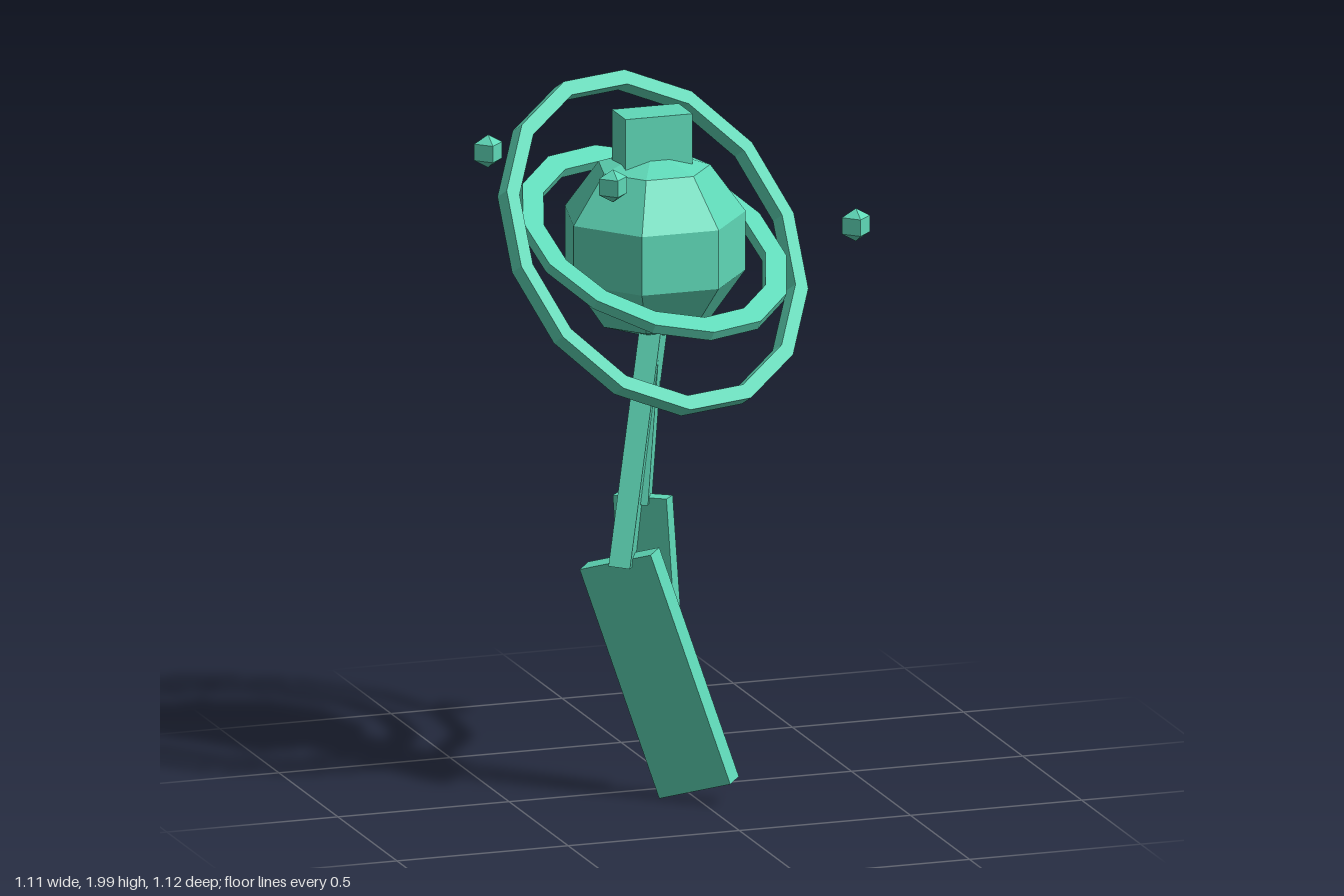
import * as THREE from 'three';

const V = (x, y, z) => new THREE.Vector3(x, y, z);
const CENTRE = V(-0.08, 1.567, 0);

export function createModel() {
  const model = new THREE.Group();
  const mat = new THREE.MeshStandardMaterial({ color: 0x5fd9b8, flatShading: true });

  const add = (name, geometry, position) => {
    const mesh = new THREE.Mesh(geometry, mat);
    mesh.name = name;
    mesh.position.copy(position);
    model.add(mesh);
    return mesh;
  };

  // Seven-sided round body with a block on top
  add('body', new THREE.SphereGeometry(0.271, 7, 5), CENTRE).rotation.y = -Math.PI / 2;
  add('topBlock', new THREE.BoxGeometry(0.195, 0.2, 0.117), V(-0.082, 1.842, 0));

  // Flat ring with a rectangular section; one corner points along `corner`
  const ring = (name, inner, outer, thickness, normal, corner) => {
    const h = thickness / 2;
    const profile = [[inner, -h], [outer, -h], [outer, h], [inner, h], [inner, -h]]
      .map(([r, y]) => new THREE.Vector2(r, y));
    const mesh = add(name, new THREE.LatheGeometry(profile, 14), CENTRE);
    const y = normal.normalize();
    const z = corner.addScaledVector(y, -corner.dot(y)).normalize();
    const x = new THREE.Vector3().crossVectors(y, z);
    mesh.quaternion.setFromRotationMatrix(new THREE.Matrix4().makeBasis(x, y, z));
  };
  ring('innerRing', 0.332, 0.395, 0.03, V(0.19, 0.87, 0.44), V(-0.12, -0.155, 0.356));
  ring('outerRing', 0.465, 0.508, 0.045, V(0.34, 0.545, 0.755), V(-0.207, 0.43, -0.217));

  // Small orbiting moons
  [V(-0.375, 1.885, 0.517), V(-0.383, 1.725, -0.517), V(0.513, 1.567, 0)]
    .forEach((p, i) => add('moon' + (i + 1), new THREE.SphereGeometry(0.047, 4, 3), p));

  // Plank from `bottom` to `top`, its broad side running along `across`
  const plank = (name, bottom, top, across, width, thickness) => {
    const y = top.clone().sub(bottom);
    const length = y.length();
    y.normalize();
    const x = across.addScaledVector(y, -across.dot(y)).normalize();
    const z = new THREE.Vector3().crossVectors(x, y);
    const mesh = add(name, new THREE.BoxGeometry(width, length, thickness),
      bottom.clone().add(top).multiplyScalar(0.5));
    mesh.quaternion.setFromRotationMatrix(new THREE.Matrix4().makeBasis(x, y, z));
  };
  plank('upperLegLong', V(-0.196, 0.677, 0.081), V(-0.076, 1.34, 0), V(0.09, -0.04, -0.2), 0.223, 0.06);
  plank('upperLegShort', V(-0.125, 0.842, 0.037), V(-0.075, 1.34, 0), V(0.06, -0.02, -0.14), 0.15, 0.045);
  plank('lowerLegLong', V(0, 0.043, 0.159), V(-0.207, 0.697, 0.085), V(-0.154, -0.066, -0.154), 0.228, 0.06);
  plank('lowerLegShort', V(-0.088, 0.283, 0.053), V(-0.128, 0.863, 0.053), V(0.7, 0.05, 0.7), 0.165, 0.04);

  return model;
}
